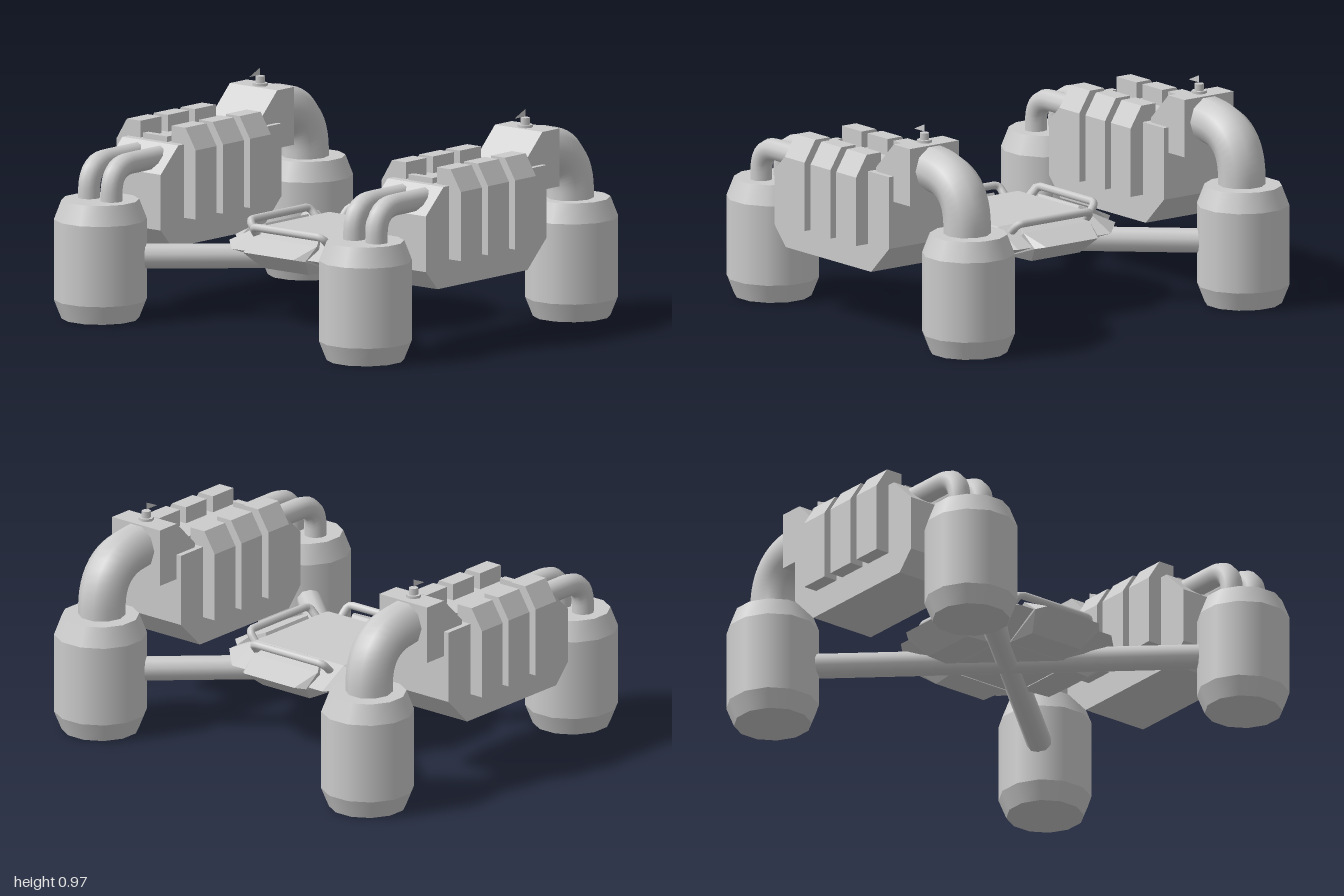
import * as THREE from 'three';
import { ConvexGeometry } from 'three/addons/geometries/ConvexGeometry.js';

const smooth = new THREE.MeshStandardMaterial({ color: 0xcccccc });
const flat = new THREE.MeshStandardMaterial({ color: 0xcccccc, flatShading: true });
const thin = new THREE.MeshStandardMaterial({ color: 0xcccccc, side: THREE.DoubleSide });
const V = (x, y, z) => new THREE.Vector3(x, y, z);

function add(parent, name, geometry, material = flat) {
  const mesh = new THREE.Mesh(geometry, material);
  mesh.name = name;
  parent.add(mesh);
  return mesh;
}

function group(parent, name) {
  const g = new THREE.Group();
  g.name = name;
  parent.add(g);
  return g;
}

// Outline of [a, b] points, extruded and centred on depth
function slab(points, depth) {
  const shape = new THREE.Shape(points.map(([a, b]) => new THREE.Vector2(a, b)));
  return new THREE.ExtrudeGeometry(shape, { depth, bevelEnabled: false }).translate(0, 0, -depth / 2);
}

// [z, y] outline given thickness along x
const sideSlab = (points, width) => slab(points, width).rotateY(-Math.PI / 2);

// Straight runs joined by rounded bends
function bentPath(points, bend) {
  const path = new THREE.CurvePath();
  let last = points[0];
  for (let i = 1; i < points.length - 1; i++) {
    const p = points[i];
    const a = p.clone().add(points[i - 1].clone().sub(p).setLength(bend));
    const b = p.clone().add(points[i + 1].clone().sub(p).setLength(bend));
    path.add(new THREE.LineCurve3(last, a));
    path.add(new THREE.QuadraticBezierCurve3(a, p, b));
    last = b;
  }
  path.add(new THREE.LineCurve3(last, points[points.length - 1]));
  return path;
}

// Twelve-sided tank with chamfered ends
function tank(parent, x, z) {
  const g = group(parent, 'tank');
  const wide = 0.206, narrow = 0.172;
  const rings = [[0, narrow], [0.085, wide], [0.445, wide], [0.533, narrow]];
  for (let i = 0; i < 3; i++) {
    const [y0, r0] = rings[i], [y1, r1] = rings[i + 1];
    const wall = new THREE.CylinderGeometry(r1, r0, y1 - y0, 12, 1, true);
    add(g, 'tankWall', wall.rotateY(Math.PI / 12).translate(0, (y0 + y1) / 2, 0), smooth);
  }
  for (const [y, tilt] of [[0, Math.PI / 2], [0.533, -Math.PI / 2]]) {
    const cap = new THREE.CircleGeometry(narrow, 12, Math.PI / 12).rotateX(tilt).translate(0, y, 0);
    add(g, 'tankCap', cap);
  }
  g.position.set(x, 0, z);
}

function pod(parent, x) {
  const g = group(parent, 'enginePod');
  g.position.x = x;

  add(g, 'podBody', sideSlab([
    [0.48, 0.38], [0.40, 0.292], [-0.21, 0.292], [-0.34, 0.42],
    [-0.34, 0.745], [0.36, 0.745], [0.48, 0.63],
  ], 0.325));
  add(g, 'podHead', sideSlab([
    [-0.215, 0.765], [-0.34, 0.89], [-0.455, 0.89], [-0.455, 0.63], [-0.34, 0.63], [-0.215, 0.75],
  ], 0.275));

  // Three pairs of armour ribs hooked over the sides
  const rib = [[0.23, 0.415], [0.23, 0.725], [0.17, 0.82], [0.09, 0.82], [0.09, 0.7], [0.14, 0.415]];
  for (const z of [0.25, 0.065, -0.118])
    for (const s of [-1, 1]) {
      const plate = add(g, 'rib', slab(rib, 0.142));
      plate.position.z = z;
      if (s < 0) plate.rotation.y = Math.PI;
    }

  // Low grab bars on the pod roof
  for (const z of [0.31, -0.18])
    add(g, 'roofBar', new THREE.BoxGeometry(0.14, 0.025, 0.035).translate(0, 0.757, z));

  // Valve and pennant on the head
  add(g, 'valveFlange', new THREE.CylinderGeometry(0.034, 0.034, 0.012, 8).translate(0, 0.896, -0.385), smooth);
  add(g, 'valveStem', new THREE.CylinderGeometry(0.021, 0.021, 0.045, 8).translate(0, 0.91, -0.385), smooth);
  const pennant = new THREE.BufferGeometry().setFromPoints(
    [V(0, 0.937, -0.31), V(0, 0.97, -0.385), V(0, 0.937, -0.385)]);
  pennant.computeVertexNormals();
  add(g, 'pennant', pennant, thin);

  // One large rear duct, two slim front pipes
  const duct = bentPath([V(0, 0.785, -0.43), V(0, 0.76, -0.69), V(0, 0.52, -0.69)], 0.2);
  add(g, 'rearDuct', new THREE.TubeGeometry(duct, 16, 0.105, 10), smooth);
  for (const px of [-0.065, 0.065]) {
    const pipe = bentPath([V(px, 0.685, 0.34), V(px, 0.685, 0.7), V(px, 0.5, 0.7)], 0.12);
    add(g, 'frontPipe', new THREE.TubeGeometry(pipe, 20, 0.05, 10), smooth);
  }

  for (const z of [0.7, -0.7]) tank(g, 0, z);
}

export function createModel() {
  const model = new THREE.Group();
  model.name = 'hoverPlatform';

  for (const s of [-1, 1]) pod(model, s * 0.77);

  // Crossed struts joining opposite tanks
  for (const s of [-1, 1]) {
    const strut = new THREE.LineCurve3(V(-0.72 * s, 0.275, -0.65), V(0.72 * s, 0.275, 0.65));
    add(model, 'strut', new THREE.TubeGeometry(strut, 1, 0.056, 10), smooth);
  }

  // Central deck: square top and base around a wider octagon
  const corners = [];
  for (const sx of [-1, 1])
    for (const sz of [-1, 1])
      corners.push(
        V(sx * 0.25, 0.405, sz * 0.245), V(sx * 0.41, 0.33, sz * 0.245),
        V(sx * 0.26, 0.33, sz * 0.405), V(sx * 0.19, 0.25, sz * 0.19));
  add(model, 'deck', new ConvexGeometry(corners));

  // A bumper and a handle on each side of the deck
  for (let i = 0; i < 4; i++) {
    const side = group(model, 'deckSide');
    side.rotation.y = i * Math.PI / 2;
    const points = [];
    for (const s of [-1, 1])
      points.push(
        V(s * 0.145, 0.405, 0.285), V(s * 0.185, 0.385, 0.345), V(s * 0.145, 0.335, 0.46),
        V(s * 0.18, 0.325, 0.42), V(s * 0.135, 0.25, 0.34), V(s * 0.15, 0.25, 0.2));
    add(side, 'bumper', new ConvexGeometry(points));
    const bar = bentPath([
      V(-0.21, 0.375, 0.285), V(-0.205, 0.424, 0.33), V(0.205, 0.424, 0.33), V(0.21, 0.375, 0.285),
    ], 0.03);
    add(side, 'handle', new THREE.TubeGeometry(bar, 32, 0.018, 8), smooth);
  }
  return model;
}
